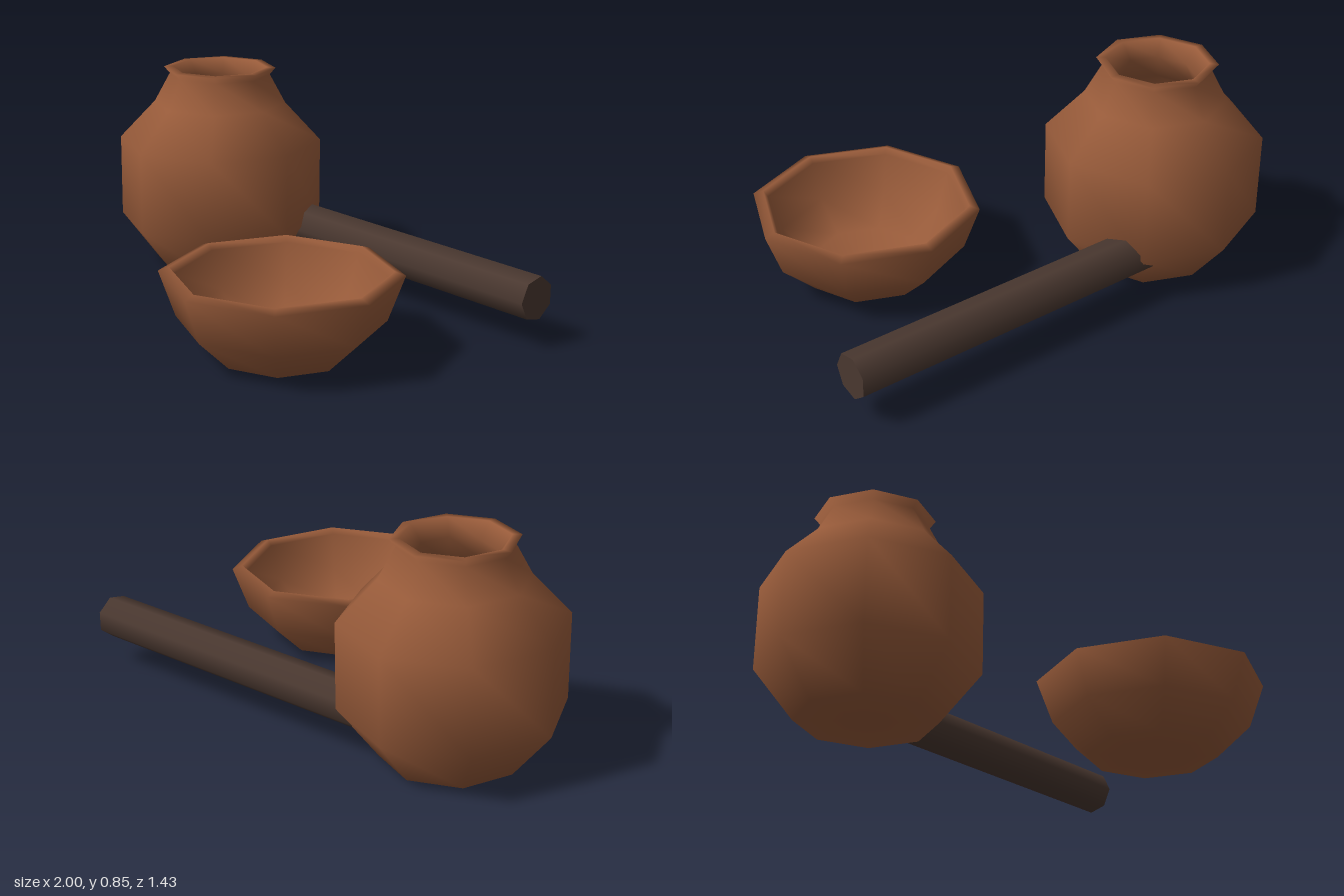
import * as THREE from 'three';

const terracotta = new THREE.MeshStandardMaterial({ color: 0x985b3a });
terracotta.name = 'terracotta';
const darkWood = new THREE.MeshStandardMaterial({ color: 0x4a3830 });
darkWood.name = 'dark wood';

// Eight-sided vessel turned from a closed profile of [radius, height] points
function vessel(name, profile, x, z) {
  const points = profile.map(([r, y]) => new THREE.Vector2(r, y));
  const mesh = new THREE.Mesh(new THREE.LatheGeometry(points, 8), terracotta);
  mesh.name = name;
  mesh.position.set(x, 0, z);
  return mesh;
}

export function createModel() {
  const model = new THREE.Group();
  model.name = 'potteryAndStick';

  // Tall jar: base, belly, shoulder, flared rim, then the hollow inside
  model.add(vessel('jar', [
    [0, 0], [0.27, 0], [0.427, 0.2], [0.427, 0.54], [0.277, 0.7], [0.212, 0.82],
    [0.236, 0.848], [0.2, 0.85], [0.152, 0.79], [0.21, 0.68], [0.37, 0.52],
    [0.37, 0.22], [0.23, 0.05], [0, 0.05],
  ], -0.573, -0.292));

  // Open bowl: outside, bevelled lip, then the inside down to its floor
  model.add(vessel('bowl', [
    [0, 0.01], [0.255, 0.01], [0.39, 0.14], [0.453, 0.315], [0.412, 0.33],
    [0.395, 0.305], [0.345, 0.16], [0.225, 0.05], [0, 0.045],
  ], 0.43, 0.262));

  // Seven-sided stick lying along x, with one end set in the jar
  const stick = new THREE.Mesh(new THREE.CylinderGeometry(0.0875, 0.0875, 1.38, 7), darkWood);
  stick.name = 'stick';
  stick.rotation.z = -Math.PI / 2;
  stick.position.set(0.31, 0.187, -0.503);
  model.add(stick);

  return model;
}
